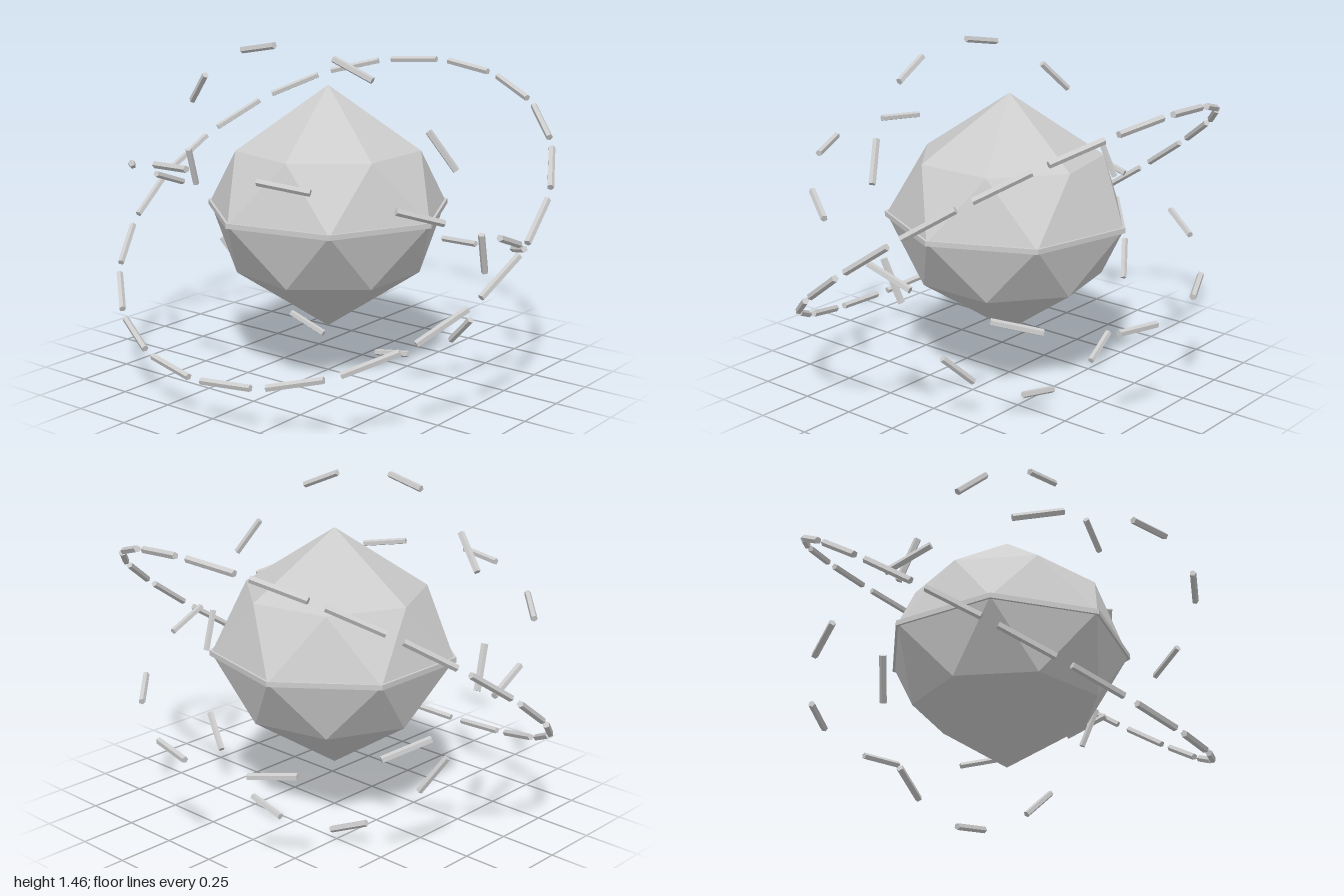
import * as THREE from 'three';

const CENTER_Y = 0.74;
const SIDES = 7;

// Faceted dome: apex, a middle ring turned half a step, and the equator
function domeGeometry(sign) {
  const point = (r, y, i) => {
    const a = (i / SIDES) * Math.PI * 2;
    return [r * Math.cos(a), sign * y, r * Math.sin(a)];
  };
  const positions = [];
  const tri = (a, b, c) => positions.push(...a, ...(sign > 0 ? b : c), ...(sign > 0 ? c : b));
  for (let i = 0; i < SIDES; i++) {
    const apex = [0, sign * 0.53, 0];
    const m0 = point(0.4, 0.264, i + 0.5), m1 = point(0.4, 0.264, i + 1.5);
    const e0 = point(0.528, 0, i), e1 = point(0.528, 0, i + 1);
    tri(apex, m1, m0);
    tri(m0, e1, e0);
    tri(m0, m1, e1);
  }
  const g = new THREE.BufferGeometry();
  g.setAttribute('position', new THREE.Float32BufferAttribute(positions, 3));
  g.computeVertexNormals();
  return g;
}

// Circle of short straight bars, tilted about the x axis
function barRing(name, radius, count, tiltDeg, material) {
  const ring = new THREE.Group();
  ring.name = name;
  const half = THREE.MathUtils.degToRad(7);
  const geometry = new THREE.CylinderGeometry(0.015, 0.015, 2 * radius * Math.sin(half), 5);
  geometry.rotateX(Math.PI / 2);
  geometry.translate(radius * Math.cos(half), 0, 0);
  for (let i = 0; i < count; i++) {
    const bar = new THREE.Mesh(geometry, material);
    bar.name = 'ringBar';
    bar.rotation.y = (i / count) * Math.PI * 2 + half;
    ring.add(bar);
  }
  ring.rotation.x = THREE.MathUtils.degToRad(tiltDeg);
  ring.position.y = CENTER_Y;
  return ring;
}

export function createModel() {
  const model = new THREE.Group();
  model.name = 'ringedCore';
  const grey = new THREE.MeshStandardMaterial({ color: 0xcccccc, flatShading: true });
  grey.name = 'light grey';

  // Core halves
  for (const [name, sign] of [['upperDome', 1], ['lowerDome', -1]]) {
    const dome = new THREE.Mesh(domeGeometry(sign), grey);
    dome.name = name;
    dome.position.y = CENTER_Y;
    model.add(dome);
  }

  // Thin band round the equator
  const band = new THREE.Mesh(
    new THREE.CylinderGeometry(0.536, 0.536, 0.022, SIDES, 1, false, Math.PI / 2), grey);
  band.name = 'equatorBand';
  band.position.y = CENTER_Y;
  model.add(band);

  // Three broken orbit rings
  model.add(barRing('outerRing', 0.985, 20, 34.3, grey));
  model.add(barRing('middleRing', 0.86, 10, -19.8, grey));
  model.add(barRing('innerRing', 0.775, 10, -68.4, grey));
  return model;
}
